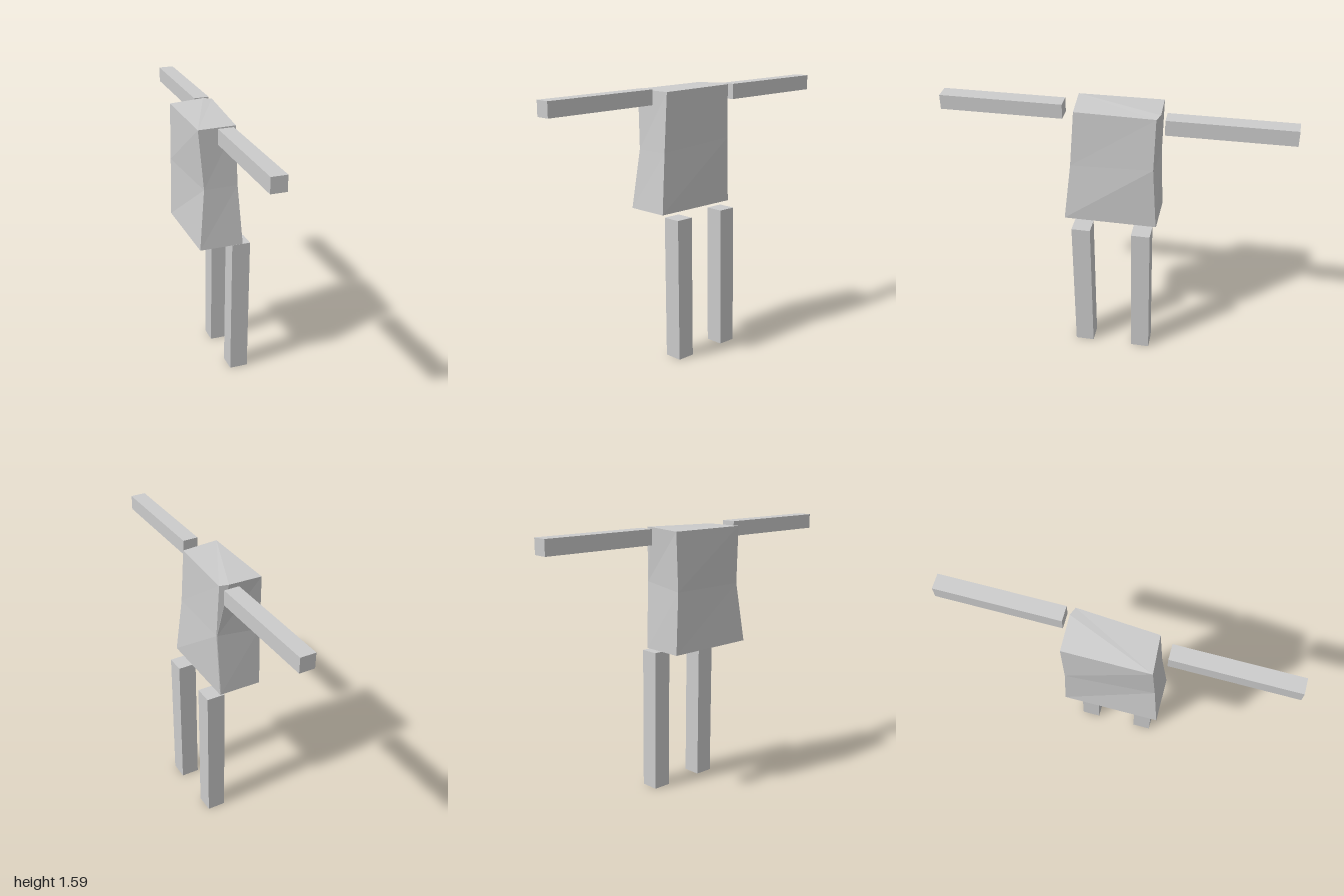
import * as THREE from 'three';

// Skin rings of [x, y, z] points (ordered counter-clockwise from above, lowest ring first) and cap both ends.
function loft(rings) {
  const pos = [];
  const tri = (a, b, c) => pos.push(...a, ...b, ...c);
  const n = rings[0].length;
  for (let r = 0; r < rings.length - 1; r++) {
    const lo = rings[r], up = rings[r + 1];
    for (let i = 0; i < n; i++) {
      const j = (i + 1) % n;
      tri(lo[i], lo[j], up[j]);
      tri(lo[i], up[j], up[i]);
    }
  }
  const bottom = rings[0], top = rings[rings.length - 1];
  for (let i = 1; i < n - 1; i++) {
    tri(top[0], top[i], top[i + 1]);
    tri(bottom[0], bottom[i + 1], bottom[i]);
  }
  const g = new THREE.BufferGeometry();
  g.setAttribute('position', new THREE.Float32BufferAttribute(pos, 3));
  g.computeVertexNormals();
  return g;
}

// Rectangular bar whose vertices slide along one axis in proportion to another.
function shearedBar(size, center, slideAxis, alongAxis, slope) {
  const g = new THREE.BoxGeometry(...size);
  const p = g.attributes.position;
  for (let i = 0; i < p.count; i++) {
    p.setComponent(i, slideAxis, p.getComponent(i, slideAxis) + slope * p.getComponent(i, alongAxis));
  }
  g.translate(...center);
  g.computeVertexNormals();
  return g;
}

export function createModel() {
  const model = new THREE.Group();
  model.name = 'figure';
  const grey = new THREE.MeshStandardMaterial({ color: 0xcccccc });
  grey.name = 'plain grey';
  grey.flatShading = true;

  const add = (name, geometry) => {
    const mesh = new THREE.Mesh(geometry, grey);
    mesh.name = name;
    model.add(mesh);
  };

  // Torso: flared hem, pinched waist, shoulders with one clipped back corner
  add('torso', loft([
    [[-0.165, 0.88, 0.288], [0.092, 0.88, 0.285], [0.092, 0.88, -0.256], [0.088, 0.88, -0.258], [-0.165, 0.88, -0.26]],
    [[-0.13, 1.23, 0.255], [0.07, 1.23, 0.247], [0.105, 1.27, -0.234], [0.101, 1.27, -0.236], [-0.165, 1.24, -0.245]],
    [[-0.158, 1.572, 0.238], [0.065, 1.57, 0.222], [0.094, 1.583, -0.242], [0.045, 1.587, -0.26], [-0.16, 1.577, -0.253]],
  ]));

  // Arms stretched out forwards and backwards
  add('frontArm', shearedBar([0.09, 0.087, 0.706], [-0.02, 1.541, 0.647], 1, 2, -0.008));
  add('backArm', shearedBar([0.09, 0.09, 0.71], [0.046, 1.539, -0.645], 1, 2, -0.008));

  // Legs, leaning very slightly
  add('frontLeg', shearedBar([0.11, 0.85, 0.11], [0.105, 0.425, 0.17], 2, 1, 0.012));
  add('backLeg', shearedBar([0.11, 0.85, 0.11], [0.105, 0.425, -0.182], 2, 1, 0.012));

  return model;
}
